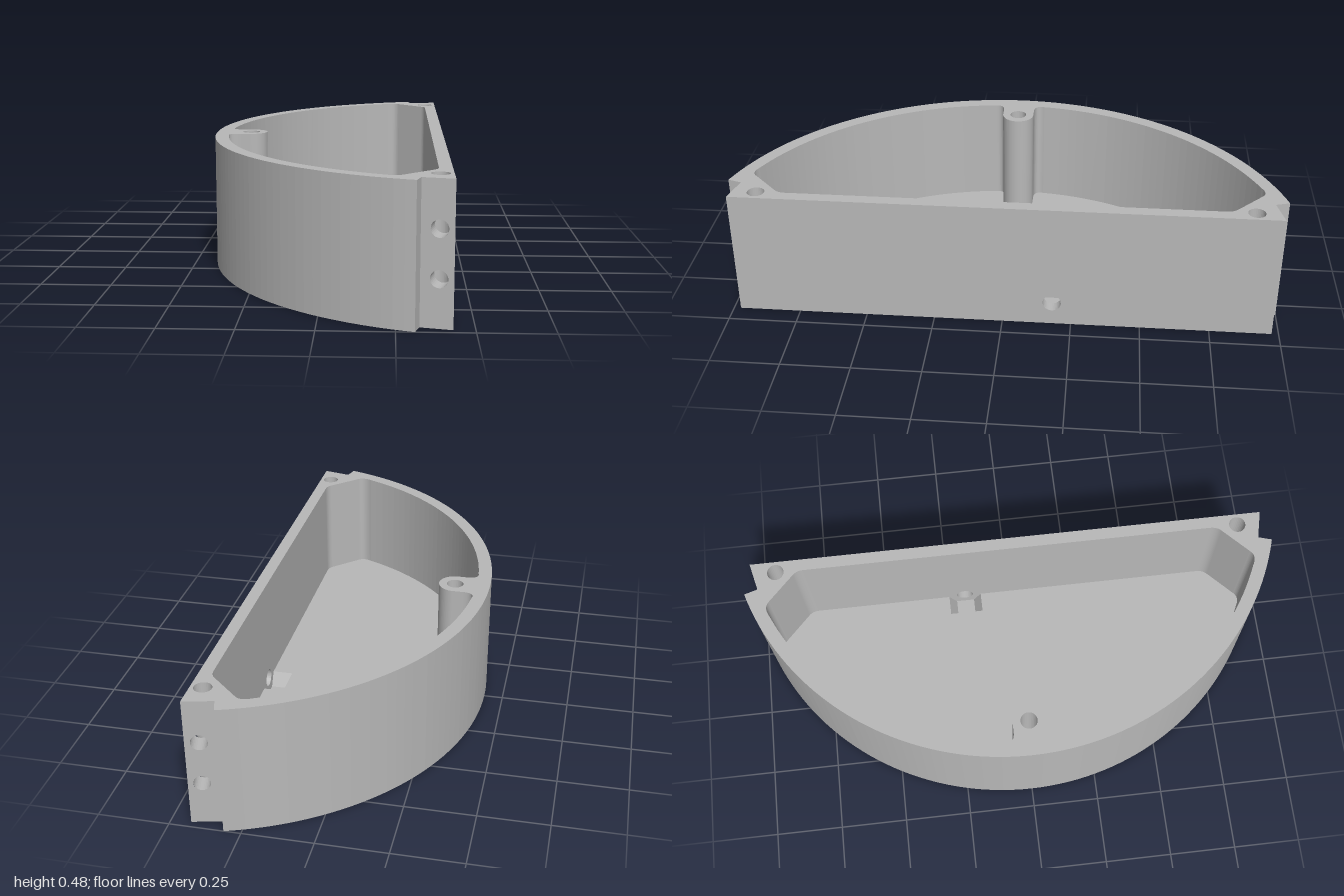
import * as THREE from 'three';
import { mergeGeometries } from 'three/addons/utils/BufferGeometryUtils.js';

const H = 0.478, FLOOR = 0.08;            // overall height, floor thickness
const R = 1.0457, CX = R - 0.43;          // outer arc radius and centre
const RI = R - 0.05;                      // inner arc radius
const WIRE = { z: -0.18, y: 0.09, r: 0.033 };
const BORES = [[-0.3, 0], [0.387, 0.88], [0.387, -0.88]];
const V2 = (x, y) => new THREE.Vector2(x, y);
const V3 = (x, y, z) => new THREE.Vector3(x, y, z);

const circle = (x, y, r) => new THREE.Path().absarc(x, y, r, 0, Math.PI * 2);

// Upright flat wall from a to b (x, z), facing the right-hand side of travel
function panel(a, b, y0, holes = [], dip = []) {
  const L = a.distanceTo(b);
  const shape = new THREE.Shape([V2(0, y0), ...dip, V2(L, y0), V2(L, H), V2(0, H)]);
  shape.holes = holes.map(h => circle(...h));
  const d = V3((b.x - a.x) / L, 0, (b.y - a.y) / L);
  const m = new THREE.Matrix4().makeBasis(d, V3(0, 1, 0), V3(-d.z, 0, d.x)).setPosition(a.x, 0, a.y);
  return new THREE.ShapeGeometry(shape, 16).applyMatrix4(m);
}

// Closed run of walls; special maps an edge index to its holes and dip
function walls(pts, y0, special) {
  return mergeGeometries(pts.map((p, i) =>
    panel(p, pts[(i + 1) % pts.length], y0, ...(special[i] || []))));
}

// Horizontal sheet from an outline in (x, z), facing up or down
function sheet(pts, y, holes, up) {
  const s = up ? -1 : 1;
  const flip = list => list.map(p => V2(p.x, s * p.y));
  const shape = new THREE.Shape(flip(pts));
  shape.holes = holes.map(h => new THREE.Path(flip(h)));
  return new THREE.ShapeGeometry(shape).rotateX(s * Math.PI / 2).translate(0, y, 0);
}

// Inward-facing hole lining; profile runs from the far end back to the start
function lining(profile, from, dir) {
  const g = new THREE.LatheGeometry(profile.map(p => V2(...p)), 32).toNonIndexed();
  g.computeVertexNormals();
  const q = new THREE.Quaternion().setFromUnitVectors(V3(0, 1, 0), dir.clone().normalize());
  return g.applyQuaternion(q).translate(from.x, from.y, from.z);
}

function quad(a, b, c, d) {
  const g = new THREE.BufferGeometry().setFromPoints([a, b, c, a, c, d]);
  g.computeVertexNormals();
  return g;
}

export function createModel() {
  const group = new THREE.Group();
  const grey = new THREE.MeshStandardMaterial({ color: 0xb8b8b8 });
  const add = (name, geometry) => {
    const mesh = new THREE.Mesh(geometry, grey);
    mesh.name = name;
    group.add(mesh);
  };

  // Outer outline: big arc, then notched ends and the straight side
  const outer = [], N = 72, a0 = Math.atan2(1, 0.31 - CX);
  for (let i = 0; i <= N; i++) {
    const a = 2 * Math.PI - a0 + (2 * a0 - 2 * Math.PI) * i / N;
    outer.push(V2(CX + R * Math.cos(a), R * Math.sin(a)));
  }
  outer.push(V2(0.325, 0.95), V2(0.43, 0.975), V2(0.43, -0.975), V2(0.325, -0.95));

  // Cavity outline: half drawn, then mirrored; wraps round the screw post
  const half = new THREE.Path();
  half.moveTo(0.385, 0.775);
  half.quadraticCurveTo(0.385, 0.8, 0.37, 0.815);
  half.lineTo(0.272, 0.908);
  half.quadraticCurveTo(0.25, 0.932, 0.213, Math.sqrt(RI * RI - (0.213 - CX) ** 2));
  half.absarc(CX, 0, RI, Math.acos((0.213 - CX) / RI), Math.PI - 0.1, false);
  half.quadraticCurveTo(-0.385, 0.06, -0.335, 0.06);
  half.lineTo(-0.3, 0.06);
  half.absarc(-0.3, 0, 0.06, Math.PI / 2, 0, true);
  const hp = half.getPoints(16).filter((p, i, l) => !i || p.distanceTo(l[i - 1]) > 1e-4);
  const cavity = [...hp, ...hp.slice(0, -1).reverse().map(p => V2(p.x, -p.y))];

  // Outer walls with two side holes in each end and one hole in the straight side
  const E = outer.length - 4, endL = outer[E].distanceTo(outer[E + 1]);
  const pair = t => [[[t, 0.16, 0.029], [t, 0.32, 0.029]]];
  add('outerWall', walls(outer, 0, {
    [E]: pair(0.06),
    [E + 1]: [[[0.975 - WIRE.z, WIRE.y, WIRE.r]]],
    [E + 2]: pair(endL - 0.06),
  }));

  // Cavity walls; the straight one dips into the nut pocket
  const pocket = [[-0.064, FLOOR], [-0.035, 0.029], [0.035, 0.029], [0.064, FLOOR]];
  const t0 = 0.775 + WIRE.z;
  add('cavityWall', walls(cavity, FLOOR, {
    [cavity.length - 1]: [[[t0, WIRE.y, WIRE.r]], pocket.map(([z, y]) => V2(t0 + z, y))],
  }));

  // Rim, floor and underside
  const ring = r => BORES.map(([x, z]) => circle(x, z, r).getPoints(16).slice(0, -1));
  add('rim', sheet(outer, H, [cavity, ...ring(0.031)], true));
  add('underside', sheet(outer, 0, ring(0.022), false));
  const px = 0.31, zA = WIRE.z - 0.064, zB = WIRE.z + 0.064;
  // The floor is cut around the pocket, which opens onto the straight wall
  const floorEdge = [...cavity, V2(0.385, zA), V2(px, zA), V2(px, zB), V2(0.385, zB)];
  add('floor', sheet(floorEdge, FLOOR, [], true));

  // Half-hexagon nut pocket
  const at = (x, [z, y]) => V3(x, y, WIRE.z + z);
  const faces = [0, 1, 2].map(k => quad(at(px, pocket[k]), at(px, pocket[k + 1]),
    at(0.385, pocket[k + 1]), at(0.385, pocket[k])));
  faces.push(quad(at(px, pocket[1]), at(px, pocket[0]), at(px, pocket[3]), at(px, pocket[2])));
  add('nutPocket', mergeGeometries(faces));

  // Stepped screw bores
  add('screwBores', mergeGeometries(BORES.map(([x, z]) =>
    lining([[0.031, H], [0.031, FLOOR], [0.022, FLOOR], [0.022, 0]], V3(x, 0, z), V3(0, 1, 0)))));

  // Linings of the end holes, which run into the screw bores
  const ends = [];
  for (const s of [1, -1]) for (const y of [0.16, 0.32])
    ends.push(lining([[0.029, 0.07], [0.029, 0]], V3(0.383, y, s * 0.964), V3(0.23, 0, -0.97 * s)));
  add('endHoles', mergeGeometries(ends));
  add('wireHole', lining([[WIRE.r, 0.045], [WIRE.r, 0]],
    V3(0.385, WIRE.y, WIRE.z), V3(1, 0, 0)));
  return group;
}
